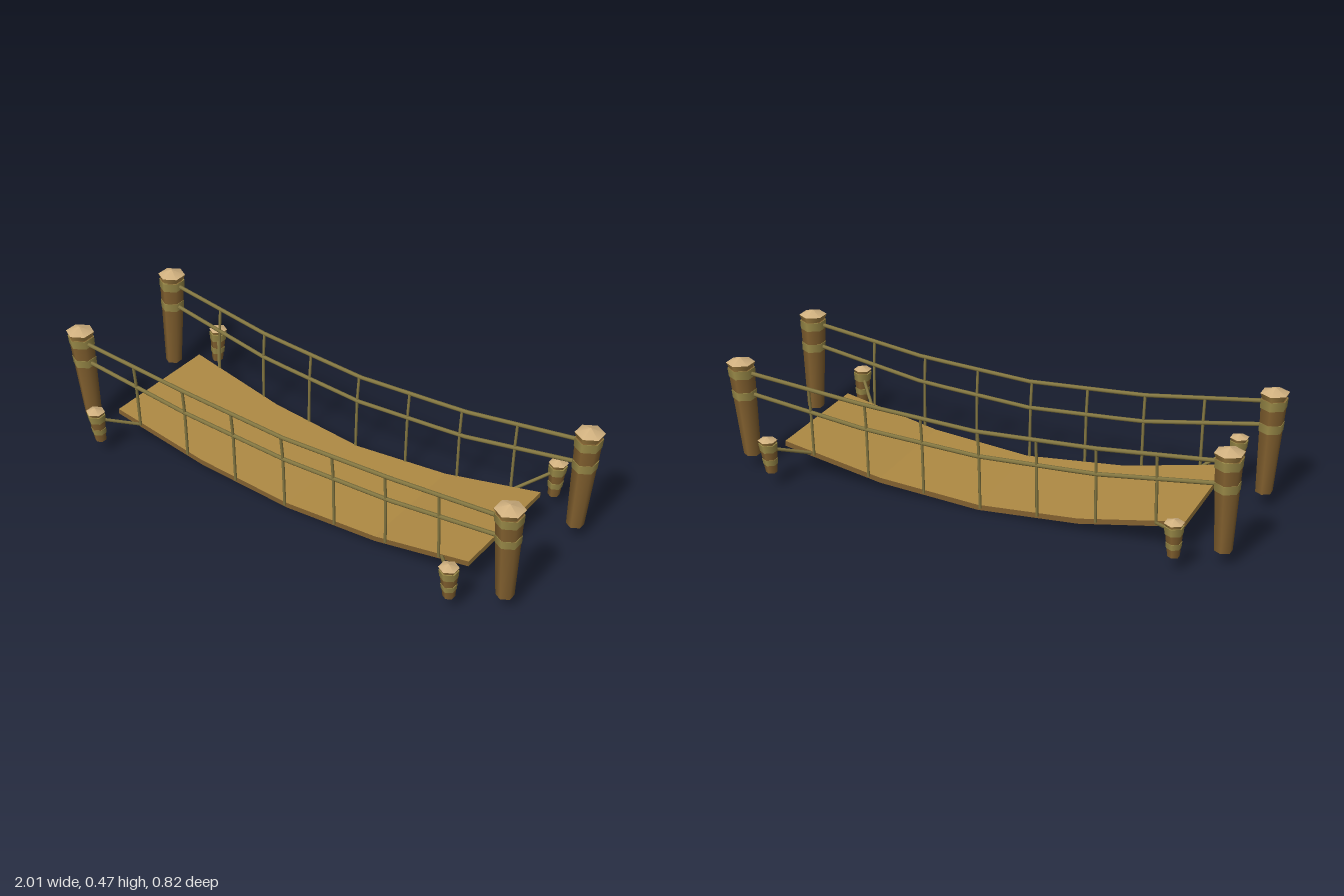
import * as THREE from 'three';

const mat = (name, color) => {
  const m = new THREE.MeshStandardMaterial({ color });
  m.name = name;
  return m;
};

export function createModel() {
  const bridge = new THREE.Group();
  bridge.name = 'ropeBridge';
  const planks = mat('golden planks', 0xb08b44);
  const bark = mat('brown wood', 0x82602f);
  const binding = mat('olive binding', 0x9a8a48);
  const rope = mat('rope', 0x857842);
  const collarWood = mat('ochre collar', 0xb28c48);
  const cutWood = mat('pale cut wood', 0xd2b280);

  const add = (parent, name, geometry, material) => {
    const mesh = new THREE.Mesh(geometry, material);
    mesh.name = name;
    parent.add(mesh);
    return mesh;
  };

  // Deck: sagging slab, narrower in the middle; sections are [x, underside y, half width]
  const sections = [
    [-0.805, 0.117, 0.247], [-0.4, 0.036, 0.236], [0, 0.003, 0.228],
    [0.4, 0.036, 0.236], [0.8, 0.117, 0.247],
  ];
  const thickness = 0.021;
  const rings = sections.map(([x, y, w]) => [
    [x, y + thickness, w], [x, y + thickness, -w], [x, y, -w], [x, y, w],
  ]);
  const faces = { gold: [], brown: [] };
  const quad = (list, a, b, c, d) => list.push(...a, ...b, ...c, ...a, ...c, ...d);
  for (let i = 0; i < rings.length - 1; i++) {
    const a = rings[i], b = rings[i + 1];
    for (let k = 0; k < 4; k++) {
      const n = (k + 1) % 4;
      quad(k % 2 ? faces.brown : faces.gold, a[k], b[k], b[n], a[n]);
    }
  }
  const first = rings[0], last = rings[rings.length - 1];
  quad(faces.gold, first[0], first[1], first[2], first[3]);
  quad(faces.gold, last[3], last[2], last[1], last[0]);
  const soup = (list) => {
    const g = new THREE.BufferGeometry();
    g.setAttribute('position', new THREE.Float32BufferAttribute(list, 3));
    g.computeVertexNormals();
    return g;
  };
  add(bridge, 'deckPlanks', soup(faces.gold), planks);
  add(bridge, 'deckSideEdges', soup(faces.brown), bark);

  // Leaning six-sided post: tapered trunk, two rope bindings, collar and pointed cap
  function makePost(name, base, top, r0, r1, bands, rimY, apexY, rimR) {
    const post = new THREE.Group();
    post.name = name;
    const slope = (i) => (top[i] - base[i]) / (top[1] - base[1]);
    const radius = (y) => r0 + (r1 - r0) * (y - base[1]) / (top[1] - base[1]);
    const piece = (part, y0, y1, ra, rb, material) => {
      const g = new THREE.CylinderGeometry(rb, ra, y1 - y0, 6);
      g.translate(0, (y0 + y1) / 2, 0);
      const p = g.attributes.position;
      for (let i = 0; i < p.count; i++) {
        const dy = p.getY(i) - base[1];
        p.setX(i, p.getX(i) + base[0] + slope(0) * dy);
        p.setZ(i, p.getZ(i) + base[2] + slope(2) * dy);
      }
      add(post, part, g, material);
    };
    piece('trunk', base[1], top[1], r0, r1, bark);
    for (const [y0, y1] of bands) {
      piece('binding', y0, y1, radius(y0) + 0.002, radius(y1) + 0.002, binding);
    }
    piece('collar', top[1], rimY, rimR * 0.82, rimR, collarWood);
    piece('cap', rimY, apexY, rimR, 0.0005, cutWood);
    bridge.add(post);
  }

  // Rope through points, with crisp bends
  function makeRope(name, points, r) {
    const path = new THREE.CurvePath();
    const v = points.map((p) => new THREE.Vector3(...p));
    for (let i = 0; i < v.length - 1; i++) path.add(new THREE.LineCurve3(v[i], v[i + 1]));
    add(bridge, name, new THREE.TubeGeometry(path, (v.length - 1) * 4, r, 6), rope);
  }

  // Piecewise linear lookup along half the span, rows are [distance, value]
  const lookup = (rows, x) => {
    const d = Math.abs(x);
    let i = 0;
    while (i < rows.length - 2 && d > rows[i + 1][0]) i++;
    const [x0, y0] = rows[i], [x1, y1] = rows[i + 1];
    return y0 + (y1 - y0) * (d - x0) / (x1 - x0);
  };
  const upperY = [[0, 0.331], [0.46, 0.355], [0.94, 0.41]];
  const lowerY = [[0, 0.227], [0.46, 0.251], [0.94, 0.321]];
  const upperZ = [[0, 0.248], [0.46, 0.252], [0.94, 0.274]];
  const lowerZ = [[0, 0.236], [0.46, 0.243], [0.94, 0.264]];
  const deckY = [[0, 0.012], [0.4, 0.045], [0.8, 0.126]];
  const deckZ = [[0, 0.229], [0.4, 0.237], [0.8, 0.248]];

  for (const side of [1, -1]) {
    const sideName = side > 0 ? 'front' : 'back';

    // Handrails
    const stations = [-0.94, -0.46, 0, 0.46, 0.94];
    makeRope(sideName + 'UpperRail',
      stations.map((x) => [x, lookup(upperY, x), side * lookup(upperZ, x)]), 0.008);
    makeRope(sideName + 'LowerRail',
      stations.map((x) => [x, lookup(lowerY, x), side * lookup(lowerZ, x)]), 0.008);

    // Hanger ropes
    for (let i = -3; i <= 3; i++) {
      const x = i * 0.229 - 0.01;
      makeRope(sideName + 'Hanger', [
        [x, lookup(deckY, x), side * lookup(deckZ, x)],
        [x, lookup(lowerY, x), side * lookup(lowerZ, x)],
        [x, lookup(upperY, x), side * lookup(upperZ, x)],
      ], 0.006);
    }

    for (const end of [1, -1]) {
      const label = sideName + (end > 0 ? 'Left' : 'Right');
      // Tall end posts
      makePost(label + 'Post',
        [end * 0.948, 0.06, side * 0.246 - 0.005], [end * 0.957, 0.427, side * 0.271 - 0.005],
        0.033, 0.05, [[0.302, 0.335], [0.392, 0.427]], 0.449, 0.469, 0.055);
      // Short anchor stakes
      makePost(label + 'Stake',
        [end * 0.8 - 0.004, 0.06, side * 0.361], [end * 0.802 - 0.004, 0.182, side * 0.373],
        0.022, 0.034, [[0.095, 0.119], [0.152, 0.183]], 0.196, 0.21, 0.037);
      // Ropes tying the deck to the stakes
      makeRope(label + 'Tie', [
        [end * 0.8 - 0.004, 0.162, side * 0.372],
        [end * 0.695 - 0.004, 0.108, side * 0.245],
      ], 0.007);
    }
  }
  return bridge;
}
